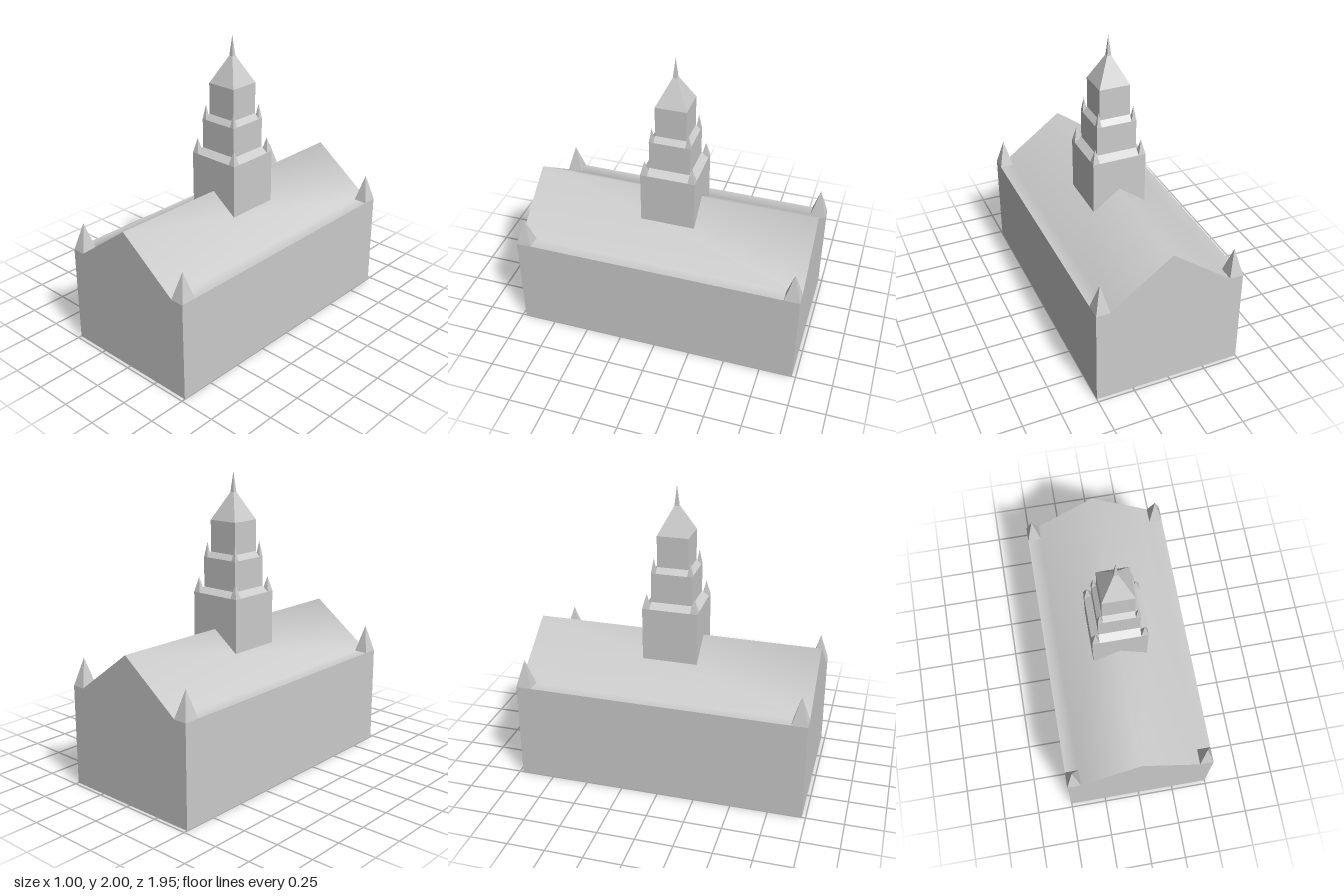
import * as THREE from 'three';

const HALF_X = 0.5, HALF_Z = 0.975;          // hall footprint
const EAVE_X = 0.41, EAVE_Y = 0.675, RIDGE_Y = 0.98;
const roofY = (x) => RIDGE_Y - (RIDGE_Y - EAVE_Y) * Math.min(1, Math.abs(x) / EAVE_X);

export function createModel() {
  const model = new THREE.Group();
  model.name = 'church';
  const flat = new THREE.MeshStandardMaterial({ color: 0xcccccc, flatShading: true, side: THREE.DoubleSide });
  const smooth = new THREE.MeshStandardMaterial({ color: 0xcccccc, side: THREE.DoubleSide });

  const add = (name, geometry, x = 0, y = 0, z = 0, material = flat) => {
    const mesh = new THREE.Mesh(geometry, material);
    mesh.name = name;
    mesh.position.set(x, y, z);
    model.add(mesh);
    return mesh;
  };

  // square frustum or pyramid standing on its base
  const pyramid = (topHalf, baseHalf, height, baseHalfZ = baseHalf) =>
    new THREE.CylinderGeometry(topHalf * Math.SQRT2, baseHalf * Math.SQRT2, height, 4, 1, true)
      .rotateY(Math.PI / 4)
      .scale(1, 1, baseHalfZ / baseHalf)
      .translate(0, height / 2, 0);

  // four pinnacles filling the corners of a rectangle
  const pinnacles = (name, halfX, halfZ, sizeX, sizeZ, y, height) => {
    for (const sx of [-1, 1]) for (const sz of [-1, 1]) {
      add(name, pyramid(0, sizeX / 2, height, sizeZ / 2),
        sx * (halfX - sizeX / 2), y, sz * (halfZ - sizeZ / 2));
    }
  };

  // gabled end walls
  const gable = new THREE.Shape([
    [-HALF_X, 0], [HALF_X, 0], [HALF_X, EAVE_Y], [EAVE_X, EAVE_Y],
    [0, RIDGE_Y], [-EAVE_X, EAVE_Y], [-HALF_X, EAVE_Y],
  ].map(([x, y]) => new THREE.Vector2(x, y)));
  add('frontWall', new THREE.ShapeGeometry(gable), 0, 0, HALF_Z);
  add('backWall', new THREE.ShapeGeometry(gable), 0, 0, -HALF_Z).rotation.y = Math.PI;

  // long side walls
  for (const s of [-1, 1]) {
    const wall = new THREE.PlaneGeometry(2 * HALF_Z, EAVE_Y).rotateY(s * Math.PI / 2);
    add(s > 0 ? 'leftWall' : 'rightWall', wall, s * HALF_X, EAVE_Y / 2, 0);
  }

  // roof: a sheet folded along ridge and eaves, shaded softly across the folds
  const roof = new THREE.PlaneGeometry(2 * HALF_X, 2 * HALF_Z, 4, 1).rotateX(-Math.PI / 2);
  const folds = [-HALF_X, -EAVE_X, 0, EAVE_X, HALF_X];
  const p = roof.attributes.position;
  for (let i = 0; i < p.count; i++) {
    const x = folds[i % 5];
    p.setXYZ(i, x, roofY(x), p.getZ(i));
  }
  roof.computeVertexNormals();
  add('roof', roof, 0, 0, 0, smooth);
  pinnacles('cornerPinnacle', HALF_X, HALF_Z, 0.093, 0.105, EAVE_Y, 0.185);

  // lowest tower stage, its foot cut to sit over the ridge
  const h1 = 0.185, y1 = 1.205, gap = 0.002;
  const foot = new THREE.Shape([
    [-h1, roofY(h1) + gap], [0, RIDGE_Y + gap], [h1, roofY(h1) + gap], [h1, y1], [-h1, y1],
  ].map(([x, y]) => new THREE.Vector2(x, y)));
  add('towerLowerStage', new THREE.ExtrudeGeometry(foot, { depth: 2 * h1, bevelEnabled: false }), 0, 0, -h1);

  // upper tower stages
  const stage = (name, half, y, top) =>
    add(name, new THREE.BoxGeometry(2 * half, top - y, 2 * half), 0, (y + top) / 2, 0);
  const h2 = 0.137, y2 = 1.44, h3 = 0.105, y3 = 1.685;
  stage('towerMiddleStage', h2, y1, y2);
  stage('towerUpperStage', h3, y2, y3);

  // sloping ledges and corner pinnacles at each setback
  for (const [outer, inner, y] of [[h1, h2, y1], [h2, h3, y2]]) {
    const wedge = new THREE.Shape([
      new THREE.Vector2(inner, 0), new THREE.Vector2(outer, 0), new THREE.Vector2(inner, 0.035),
    ]);
    const ledge = new THREE.ExtrudeGeometry(wedge, { depth: 2 * inner, bevelEnabled: false })
      .translate(0, 0, -inner);
    for (let k = 0; k < 4; k++) add('slopingLedge', ledge, 0, y, 0).rotation.y = k * Math.PI / 2;
    pinnacles('towerPinnacle', outer, outer, outer - inner, outer - inner, y, 0.1);
  }

  // two-part spire
  const neck = 0.014, neckY = 1.865;
  add('spireRoof', pyramid(neck, h3, neckY - y3), 0, y3, 0);
  add('spireTip', pyramid(0, neck, 2 - neckY), 0, neckY, 0);

  return model;
}
